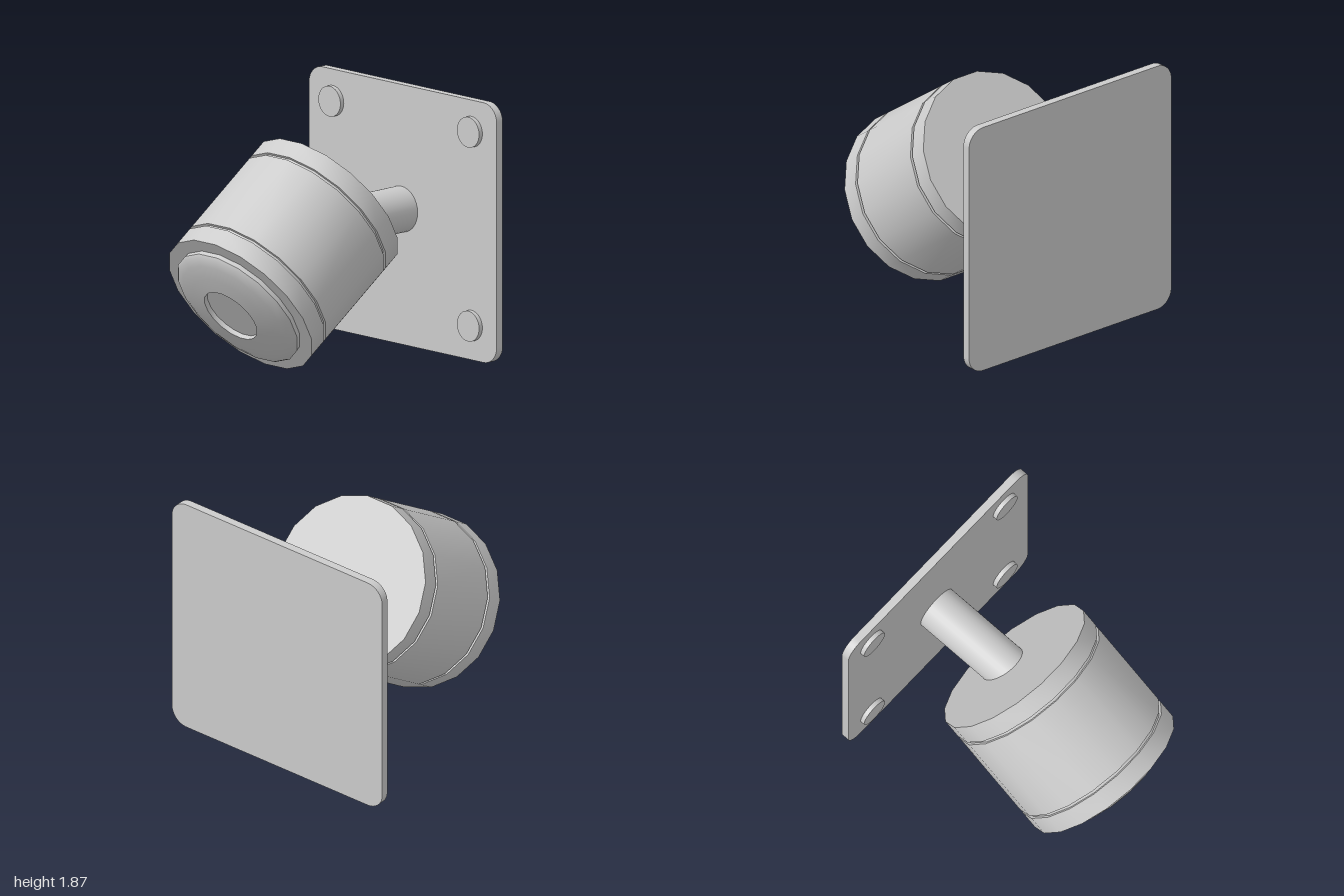
import * as THREE from 'three';
import { toCreasedNormals } from 'three/addons/utils/BufferGeometryUtils.js';

const AXIS_X = -0.017; // lamp and stem sit slightly off centre
const material = new THREE.MeshStandardMaterial({ color: 0xcccccc });

function part(name, geometry, parent) {
  const mesh = new THREE.Mesh(geometry, material);
  mesh.name = name;
  parent.add(mesh);
  return mesh;
}

// 18-sided turned part; profile is [radius, distance along the lamp axis]
function turned(profile) {
  const points = profile.map(([r, t]) => new THREE.Vector2(r, t));
  const geometry = new THREE.LatheGeometry(points, 18, Math.PI / 18, Math.PI * 2);
  return toCreasedNormals(geometry, 0.7);
}

function roundedSquare(half, r) {
  const s = new THREE.Shape();
  const c = half - r;
  s.absarc(c, c, r, 0, Math.PI / 2);
  s.absarc(-c, c, r, Math.PI / 2, Math.PI);
  s.absarc(-c, -c, r, Math.PI, Math.PI * 1.5);
  s.absarc(c, -c, r, Math.PI * 1.5, Math.PI * 2);
  s.closePath();
  return s;
}

// cylinder running along z from z0 to z1
function rod(name, r, x, y, z0, z1, parent) {
  const geometry = new THREE.CylinderGeometry(r, r, z1 - z0, 32).rotateX(Math.PI / 2);
  part(name, geometry, parent).position.set(x, y, (z0 + z1) / 2);
}

export function createModel() {
  const model = new THREE.Group();
  model.name = 'wallSpotlight';

  // Wall plate with rounded corners
  const plate = new THREE.ExtrudeGeometry(roundedSquare(0.935, 0.13), {
    depth: 0.06, bevelEnabled: false, curveSegments: 8,
  });
  part('wallPlate', toCreasedNormals(plate, 0.5), model).position.set(0, 0.935, -1);

  // Four bolt heads
  for (const x of [-0.698, 0.683]) {
    for (const y of [0.247, 1.643]) rod('boltHead', 0.11, x, y, -0.95, -0.907, model);
  }

  // Stem from the plate into the back of the lamp
  rod('stem', 0.165, AXIS_X, 0.973, -0.95, -0.15, model);

  // Lamp head, tilted 35 degrees downward; local +y is the beam direction
  const head = new THREE.Group();
  head.name = 'lampHead';
  head.position.set(AXIS_X, 1.135, -0.2);
  head.rotation.x = THREE.MathUtils.degToRad(125);
  model.add(head);

  const R = 0.623, G = 0.603, L = 1.037;
  // Housing with a narrow groove behind each end ring
  part('housing', turned([
    [0, 0], [R, 0], [R, 0.145], [G, 0.145], [G, 0.17], [R, 0.17],
    [R, L - 0.17], [G, L - 0.17], [G, L - 0.145], [R, L - 0.145], [R, L], [0, L],
  ]), head);

  // Domed lens cover with a shallow round recess
  part('lensCover', turned([
    [0.516, -0.01], [0.521, 0.035], [0.505, 0.052], [0.445, 0.077],
    [0.343, 0.102], [0.228, 0.117], [0.228, 0.08], [0, 0.08],
  ]), head).position.y = L;

  return model;
}
